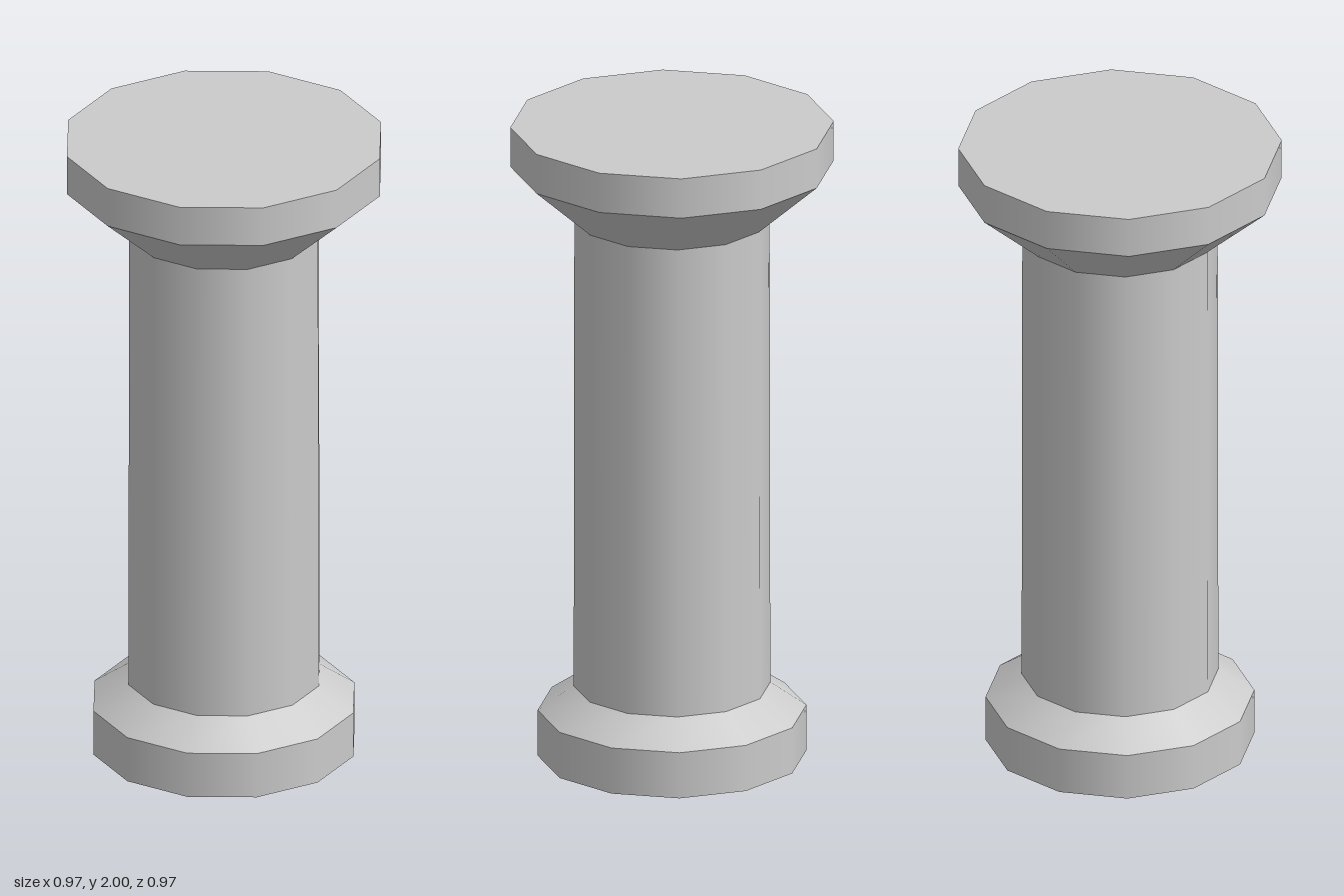
import * as THREE from 'three';

const SIDES = 12;

export function createModel() {
  const group = new THREE.Group();
  group.name = 'column';
  const material = new THREE.MeshStandardMaterial({ color: 0xcccccc });

  // One ring of the column: open tube between two heights, smooth around
  const addRing = (name, y0, r0, y1, r1) => {
    const geometry = new THREE.CylinderGeometry(r1, r0, y1 - y0, SIDES, 1, true);
    const mesh = new THREE.Mesh(geometry, material);
    mesh.name = name;
    mesh.position.y = (y0 + y1) / 2;
    group.add(mesh);
  };

  // Flat end disc, facing up (1) or down (-1)
  const addDisc = (name, y, r, facing) => {
    const mesh = new THREE.Mesh(new THREE.CircleGeometry(r, SIDES), material);
    mesh.name = name;
    mesh.rotation.x = -facing * Math.PI / 2;
    mesh.position.y = y;
    group.add(mesh);
  };

  // Foot
  addDisc('baseUnderside', 0, 0.403, -1);
  addRing('base', 0, 0.403, 0.145, 0.403);
  addRing('baseBevel', 0.145, 0.403, 0.22, 0.295);

  // Shaft
  addRing('shaft', 0.22, 0.295, 1.705, 0.293);

  // Flared head
  addRing('capitalFlare', 1.705, 0.293, 1.875, 0.485);
  addRing('capitalRim', 1.875, 0.485, 2, 0.485);
  addDisc('capitalTop', 2, 0.485, 1);

  return group;
}
